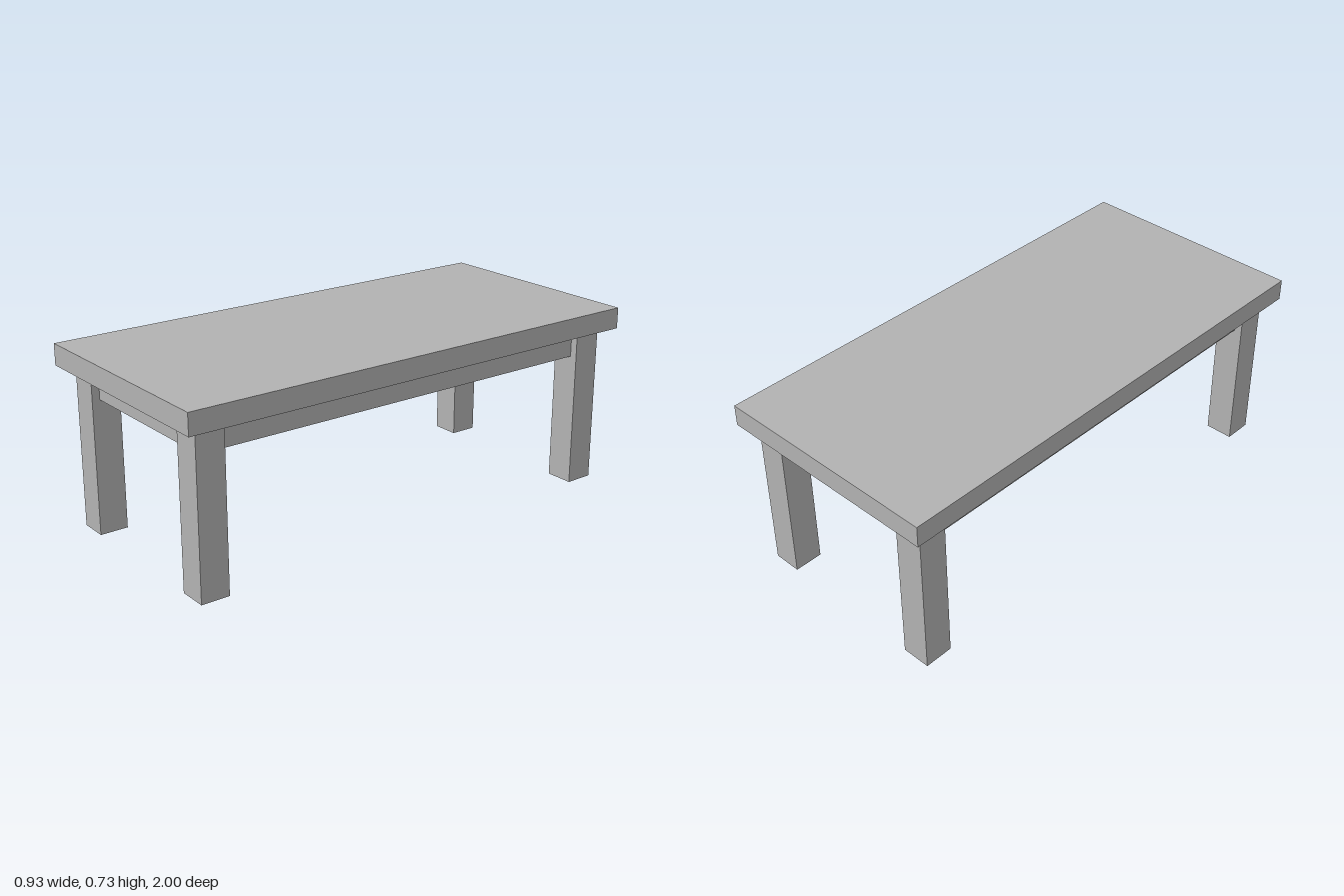
import * as THREE from 'three';

export function createModel() {
  const group = new THREE.Group();
  group.name = 'coffeeTable';

  const grey = new THREE.MeshStandardMaterial({ color: 0xb2b2b2 });
  grey.name = 'plain grey';

  // Adds a box standing on height y
  function addBox(name, w, h, d, x, y, z) {
    const mesh = new THREE.Mesh(new THREE.BoxGeometry(w, h, d), grey);
    mesh.name = name;
    mesh.position.set(x, y + h / 2, z);
    group.add(mesh);
  }

  const topBase = 0.641;
  const legSize = 0.115;

  // Thick rectangular top
  addBox('tableTop', 0.934, 0.085, 2, 0, topBase, 0);

  // Solid apron block, set back slightly from the outer leg faces
  addBox('apron', 0.768, 0.106, 1.828, 0, topBase - 0.106, 0);

  // Four square legs
  for (const [side, sx] of [['Left', 1], ['Right', -1]]) {
    for (const [end, sz] of [['front', 1], ['back', -1]]) {
      addBox(`${end}${side}Leg`, legSize, topBase, legSize, sx * 0.3565, 0, sz * 0.8875);
    }
  }

  return group;
}
